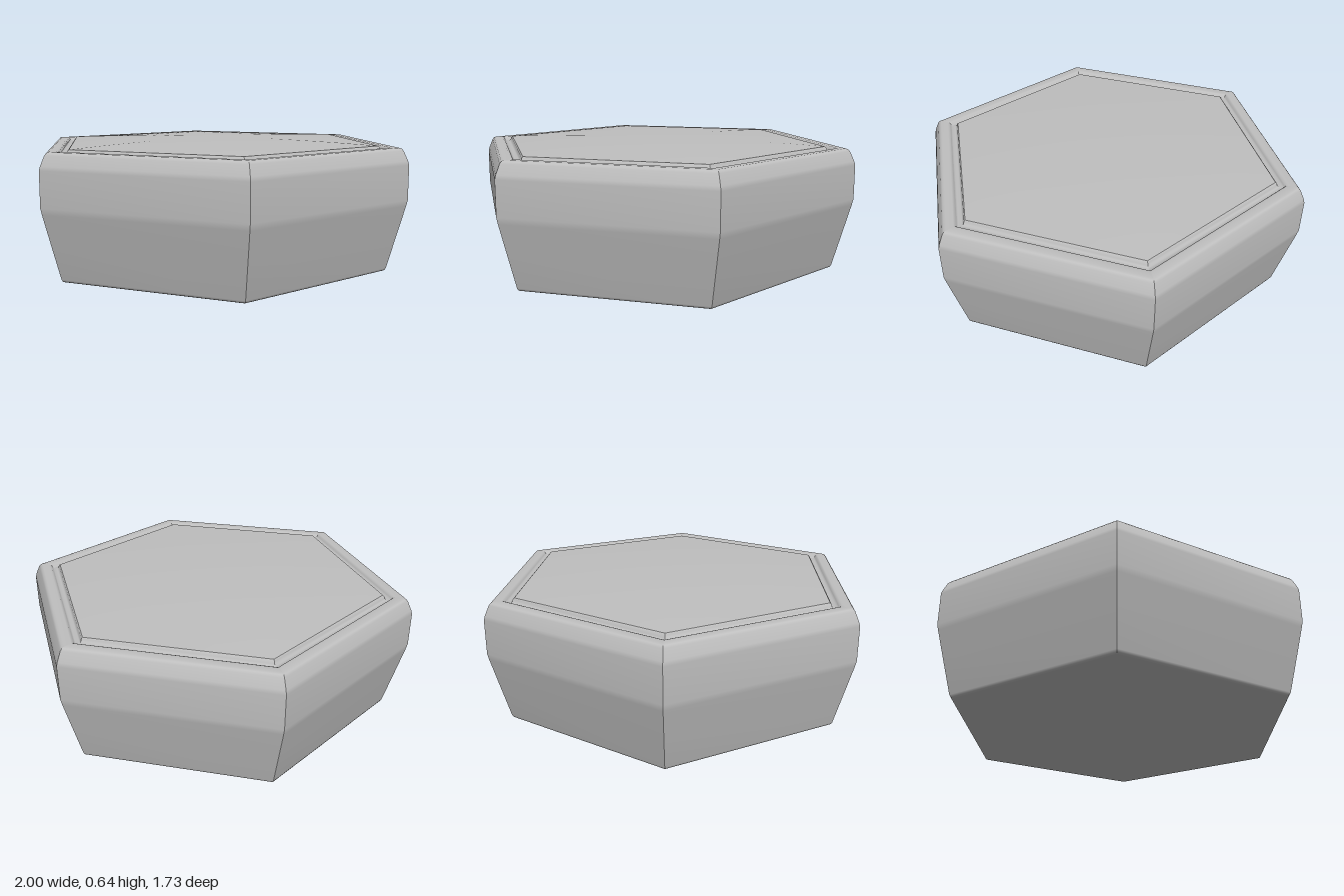
import * as THREE from 'three';
import { mergeGeometries } from 'three/addons/utils/BufferGeometryUtils.js';

const SIDES = 6;
const STEP = (Math.PI * 2) / SIDES;
const toPoints = (list) => list.map(([r, y]) => new THREE.Vector2(r, y));

// Hexagonal shell: smooth along the profile, crisp at the six corners
function hexShell(profile) {
  const points = toPoints(profile);
  const sectors = [];
  for (let i = 0; i < SIDES; i++) {
    const sector = new THREE.LatheGeometry(points, 1, Math.PI / 2 + i * STEP, STEP);
    sector.computeVertexNormals();
    sectors.push(sector);
  }
  return mergeGeometries(sectors);
}

export function createModel() {
  const group = new THREE.Group();
  const grey = new THREE.MeshStandardMaterial({ color: 0xbfbfbf });
  grey.name = 'light grey';

  const add = (name, geometry) => {
    const mesh = new THREE.Mesh(geometry, grey);
    mesh.name = name;
    group.add(mesh);
  };

  // Flat underside
  add('base', hexShell([[0, 0], [0.89, 0]]));

  // Tapered wall, bevelled shoulder and rounded rim
  add('wall', hexShell([
    [0.89, 0], [0.9, 0.004], [0.907, 0.015], [0.955, 0.19], [0.993, 0.33],
    [1, 0.36], [1, 0.53], [0.994, 0.55], [0.972, 0.597], [0.963, 0.607],
    [0.95, 0.611], [0.912, 0.611], [0.902, 0.608], [0.895, 0.6],
  ]));

  // Narrow channel between the rim and the raised top
  add('groove', hexShell([
    [0.895, 0.6], [0.888, 0.594], [0.868, 0.594], [0.86, 0.6], [0.857, 0.611], [0.85, 0.617],
  ]));

  // Gently domed top panel
  const dome = [];
  for (let i = 0; i <= 12; i++) {
    const t = 1 - i / 12;
    dome.push([0.85 * t, 0.64 - 0.023 * t * t]);
  }
  add('topPanel', new THREE.LatheGeometry(toPoints(dome), SIDES, Math.PI / 2));

  return group;
}
